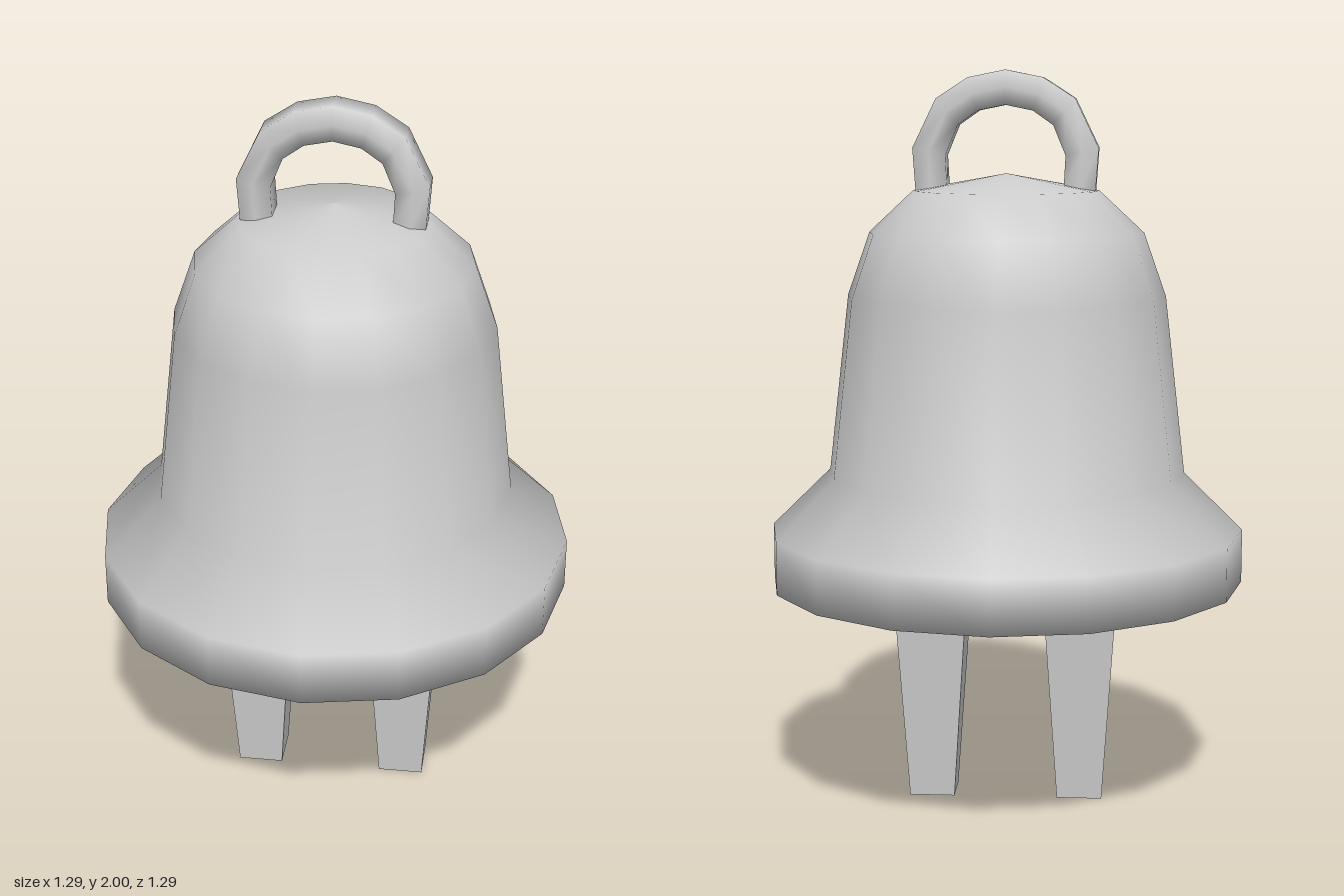
import * as THREE from 'three';
import { toCreasedNormals } from 'three/addons/utils/BufferGeometryUtils.js';

const material = new THREE.MeshStandardMaterial({ color: 0xcccccc });
const flatMaterial = new THREE.MeshStandardMaterial({ color: 0xcccccc, flatShading: true });

function addMesh(group, name, geometry, mat = material) {
  const mesh = new THREE.Mesh(geometry, mat);
  mesh.name = name;
  group.add(mesh);
  return mesh;
}

// Hollow bell: down the inside, across the flat lip, up the outside
function bellGeometry() {
  const profile = [
    [0, 1.66], [0.21, 1.62], [0.32, 1.52], [0.38, 1.38], [0.435, 0.92], [0.5, 0.618],
    [0.645, 0.618], [0.645, 0.763], [0.485, 0.92], [0.43, 1.4], [0.37, 1.57], [0.25, 1.682], [0, 1.727],
  ];
  return new THREE.LatheGeometry(profile.map(([r, y]) => new THREE.Vector2(r, y)), 16);
}

// Arched loop: six-sided sections set between an outer and an inner arc
function handleGeometry() {
  // outer x, outer y, inner x, inner y
  const half = [
    [0.24, 1.682, 0.155, 1.682], [0.248, 1.795, 0.16, 1.775], [0.185, 1.925, 0.127, 1.855],
    [0.1, 1.98, 0.073, 1.893],
  ];
  const mirrored = half.map(([ox, oy, ix, iy]) => [-ox, oy, -ix, iy]).reverse();
  const arch = [...half, [0, 2, 0, 1.908], ...mirrored];
  // position from outer to inner arc, and z
  const section = [[0, 0.04], [0.5, 0.055], [1, 0.04], [1, -0.04], [0.5, -0.055], [0, -0.04]];
  const n = section.length;
  const positions = [];
  const index = [];
  arch.forEach(([ox, oy, ix, iy], r) => {
    section.forEach(([t, z], j) => {
      positions.push(ox + (ix - ox) * t, oy + (iy - oy) * t, z);
      if (r === arch.length - 1) return;
      const a = r * n + j, b = r * n + (j + 1) % n;
      index.push(a, a + n, b, b, a + n, b + n);
    });
  });
  // End caps
  const last = (arch.length - 1) * n;
  for (let k = 1; k < n - 1; k++) {
    index.push(0, k, k + 1, last, last + k + 1, last + k);
  }
  const geometry = new THREE.BufferGeometry();
  geometry.setAttribute('position', new THREE.Float32BufferAttribute(positions, 3));
  geometry.setIndex(index);
  return toCreasedNormals(geometry, 1.4);
}

export function createModel() {
  const group = new THREE.Group();
  group.name = 'bell';
  addMesh(group, 'bellBody', bellGeometry());
  addMesh(group, 'handle', handleGeometry());

  // Tapered square legs
  const legHeight = 0.8;
  const legGeometry = new THREE.CylinderGeometry(0.115 * Math.SQRT2, 0.062 * Math.SQRT2, legHeight, 4)
    .rotateY(Math.PI / 4);
  for (const side of [1, -1]) {
    const leg = addMesh(group, side > 0 ? 'leftLeg' : 'rightLeg', legGeometry, flatMaterial);
    leg.position.set(side * 0.205, legHeight / 2, 0.03);
  }
  return group;
}
